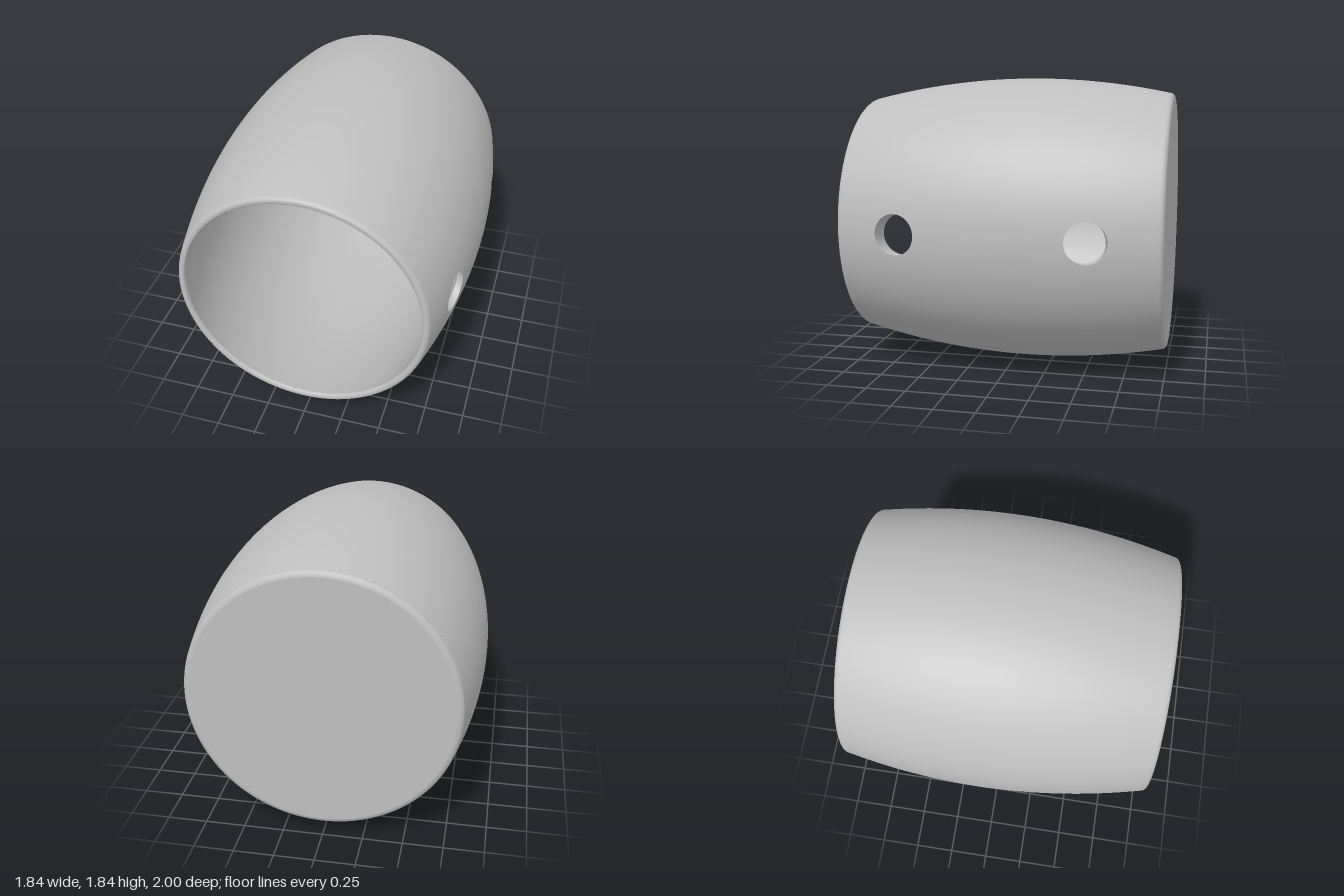
import * as THREE from 'three';

const CENTRE_Y = 0.92, WALL = 0.045, HOLE_R = 0.126;
const PATCH_Z = 0.22, PATCH_A = 0.25; // half size of the wall patch around each hole
const holes = [{ z: 0.605, shift: 0.045 }, { z: -0.56, shift: -0.016 }];

// Barrel radius along z, widest slightly behind the middle
const outerR = z => 0.92 - 0.117 * (z + 0.1) ** 2;
const slope = z => -0.234 * (z + 0.1);

// Surface from a rule f(u, v) -> [position, normal]; flip turns it inside out
function grid(nu, nv, f, flip = false) {
  const pos = [], nor = [], idx = [];
  for (let i = 0; i <= nu; i++) for (let j = 0; j <= nv; j++) {
    const [p, n] = f(i / nu, j / nv);
    pos.push(...p);
    nor.push(...n.normalize().multiplyScalar(flip ? -1 : 1));
  }
  for (let i = 0; i < nu; i++) for (let j = 0; j < nv; j++) {
    const a = i * (nv + 1) + j, b = a + 1, c = a + nv + 1, d = c + 1;
    idx.push(...(flip ? [a, c, b, b, c, d] : [a, b, c, b, d, c]));
  }
  const g = new THREE.BufferGeometry();
  g.setAttribute('position', new THREE.Float32BufferAttribute(pos, 3));
  g.setAttribute('normal', new THREE.Float32BufferAttribute(nor, 3));
  g.setIndex(idx);
  return g;
}

// Point and normal on the wall
const wallPoint = (z, a, inset) => {
  const r = outerR(z) - inset;
  return [new THREE.Vector3(r * Math.cos(a), r * Math.sin(a), z),
    new THREE.Vector3(Math.cos(a), Math.sin(a), -slope(z))];
};

// Edge of a hole as z and angle on the outer or inner wall
const holeEdge = (hole, t, inset) => {
  const z = hole.z + HOLE_R * Math.cos(t) - (inset ? hole.shift : 0);
  return [z, Math.asin(HOLE_R * Math.sin(t) / (outerR(z) - inset))];
};

export function createModel() {
  const model = new THREE.Group();
  model.name = 'mugBody';
  const body = new THREE.Group();
  body.name = 'barrel';
  body.position.y = CENTRE_Y;
  model.add(body);
  const grey = new THREE.MeshStandardMaterial({ color: 0xbfbfbf });
  grey.name = 'grey';
  const add = (name, geometry) => {
    const mesh = new THREE.Mesh(geometry, grey);
    mesh.name = name;
    body.add(mesh);
  };

  // Outer and inner wall: a large sweep plus a strip holding the two holes
  for (const [side, inset, z0, z1] of [['outer', 0, -0.965, 0.975], ['inner', WALL, -0.95, 0.98]]) {
    const flip = inset > 0;
    const piece = (name, za, zb, a0, a1, nz, na) => add(name, grid(nz, na,
      (u, v) => wallPoint(za + (zb - za) * u, a0 + (a1 - a0) * v, inset), flip));
    piece(side + 'Wall', z0, z1, PATCH_A, 2 * Math.PI - PATCH_A, 40, 120);
    const [front, back] = holes;
    for (const [za, zb] of [[z0, back.z - PATCH_Z], [back.z + PATCH_Z, front.z - PATCH_Z],
      [front.z + PATCH_Z, z1]]) piece(side + 'Strip', za, zb, -PATCH_A, PATCH_A, 14, 12);
    for (const hole of holes) {
      add(side + 'HoleSurround', grid(8, 64, (u, v) => {
        const t = v * Math.PI * 2, c = Math.cos(t), s = Math.sin(t);
        const m = Math.max(Math.abs(c), Math.abs(s));
        const [ez, ea] = holeEdge(hole, t, inset);
        return wallPoint(ez + (hole.z + PATCH_Z * c / m - ez) * u,
          ea + (PATCH_A * s / m - ea) * u, inset);
      }, flip));
    }
  }

  // Slanted sides of the holes through the wall
  for (const hole of holes) {
    add('holeSide', grid(2, 64, (u, v) => {
      const t = v * Math.PI * 2;
      const inner = wallPoint(...holeEdge(hole, t, WALL), WALL)[0];
      const outer = wallPoint(...holeEdge(hole, t, 0), 0)[0];
      return [inner.lerp(outer, u), new THREE.Vector3(0, -Math.sin(t), -Math.cos(t))];
    }));
  }

  // Turned parts along z
  const turned = (name, points) => add(name, new THREE.LatheGeometry(
    points.map(p => new THREE.Vector2(...p)), 128).rotateX(Math.PI / 2));
  const rimOut = outerR(0.975), rimIn = outerR(0.98) - WALL;
  turned('rim', [[rimOut, 0.975], [rimOut - 0.004, 0.987], [rimOut - 0.012, 0.996], [rimOut - 0.02, 1],
    [rimIn + 0.01, 1], [rimIn + 0.003, 0.994], [rimIn, 0.98]]);
  const base = outerR(-0.965);
  turned('baseEdge', [[base - 0.035, -1], [base - 0.022, -0.997], [base - 0.01, -0.99],
    [base - 0.002, -0.978], [base, -0.965]]);
  turned('base', [[0, -1], [base - 0.035, -1]]);
  turned('innerFloor', [[outerR(-0.95) - WALL, -0.95], [0, -0.95]]);
  return model;
}
